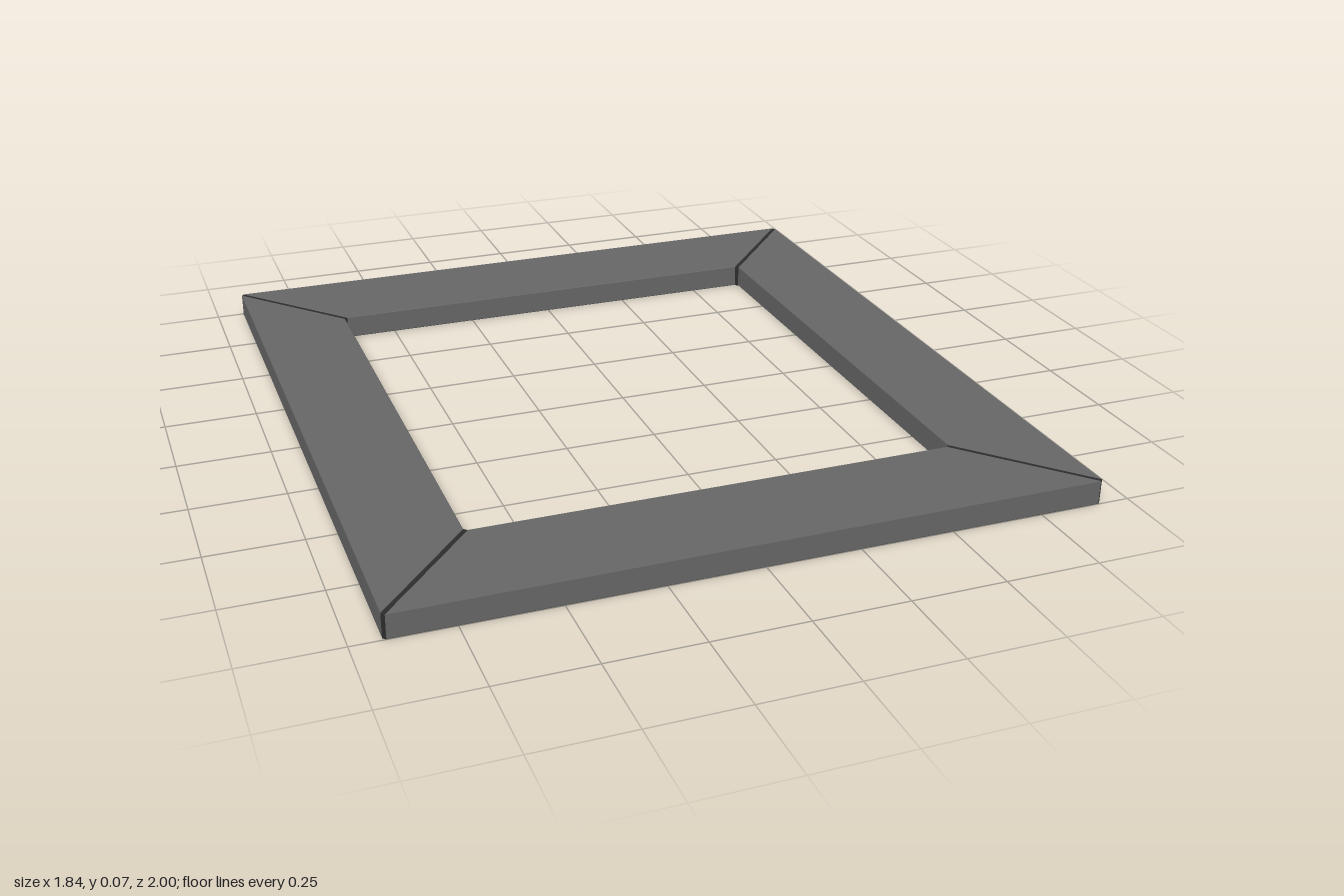
import * as THREE from 'three';

const HX = 0.922, HZ = 1;        // outer half sizes
const IX = 0.654, IZ = 0.70;     // half sizes of the opening
const H = 0.066;                 // thickness
const D = 0.008;                 // set-back of the bars at each mitre
const B = 0.002;                 // softened edges

// Flat plate from an outline of [x, z] points, standing on y = 0
function plate(name, points, height, bevel, material) {
  const shape = new THREE.Shape(points.map(([x, z]) => new THREE.Vector2(x, -z)));
  const geometry = new THREE.ExtrudeGeometry(shape, {
    depth: height - 2 * bevel,
    bevelEnabled: bevel > 0,
    bevelThickness: bevel,
    bevelSize: bevel,
    bevelOffset: -bevel,
    bevelSegments: 1,
  });
  geometry.rotateX(-Math.PI / 2).translate(0, bevel, 0);
  const mesh = new THREE.Mesh(geometry, material);
  mesh.name = name;
  return mesh;
}

export function createModel() {
  const group = new THREE.Group();
  group.name = 'mitredFrame';
  const barMaterial = new THREE.MeshStandardMaterial({ color: 0x666666 });
  const jointMaterial = new THREE.MeshStandardMaterial({ color: 0x2c2c2c });

  for (const s of [1, -1]) {
    // Side bars along z
    group.add(plate(s > 0 ? 'leftBar' : 'rightBar', [
      [s * HX, HZ - D], [s * HX, -HZ + D], [s * IX, -IZ + D], [s * IX, IZ - D],
    ], H, B, barMaterial));

    // Front and back bars along x
    group.add(plate(s > 0 ? 'frontBar' : 'backBar', [
      [HX - D, s * HZ], [-HX + D, s * HZ], [-IX + D, s * IZ], [IX - D, s * IZ],
    ], H, B, barMaterial));

    // Dark strips filling the mitre joints, cut off square at both ends
    for (const t of [1, -1]) {
      group.add(plate('mitreJoint', [
        [s * HX, t * (HZ - D)], [s * (HX - D), t * HZ],
        [s * (IX - D), t * IZ], [s * IX, t * (IZ - D)],
      ], H - 0.001, 0, jointMaterial));
    }
  }
  return group;
}
